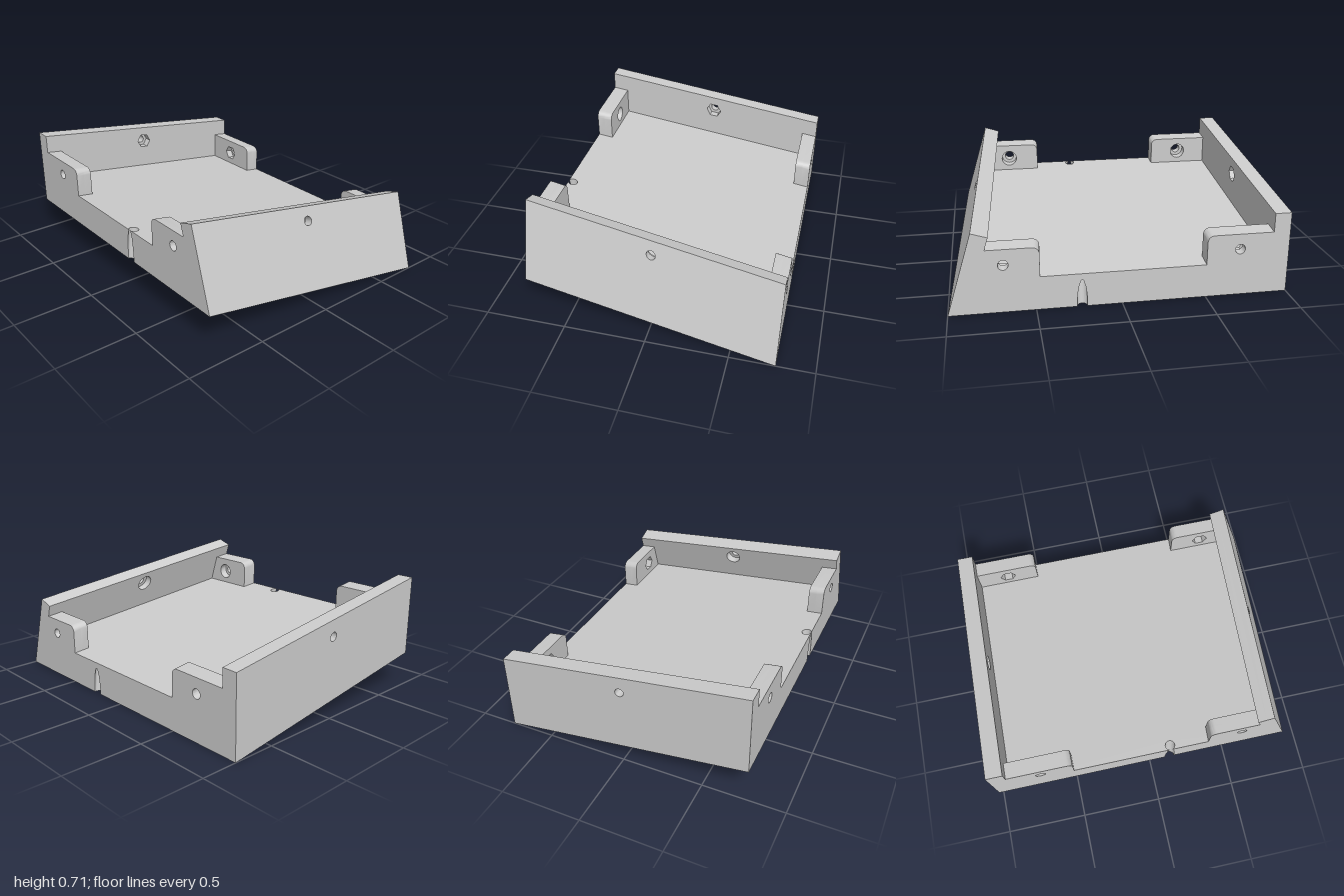
import * as THREE from 'three';
import { toCreasedNormals } from 'three/addons/utils/BufferGeometryUtils.js';

const D = 0.773;          // half depth
const FLOOR = 0.205;      // floor thickness
const WALL = 0.1;         // wall and tab thickness
const rise = z => 0.1075 * (1 + z / D);   // the tray climbs towards the front
const skew = z => -0.0775 * z;            // the sloping side narrows towards the front
const innerX = v => 0.836 - 0.306 * v;    // inner face of the sloping wall at z = 0

const material = new THREE.MeshStandardMaterial({ color: 0xcccccc, side: THREE.DoubleSide });

// Moves every vertex by a rule, then shades with sharp edges
function reshape(geometry, rule) {
  const p = geometry.attributes.position;
  for (let i = 0; i < p.count; i++) p.setXYZ(i, ...rule(p.getX(i), p.getY(i), p.getZ(i)));
  geometry.computeVertexNormals();
  return toCreasedNormals(geometry, 0.6);
}

function add(group, name, geometry) {
  const mesh = new THREE.Mesh(geometry, material);
  mesh.name = name;
  group.add(mesh);
}

// Polygonal hole: many sides for a bolt, six for a nut
function hole(x, y, r, sides) {
  const pts = [];
  for (let i = 0; i < sides; i++) {
    const a = (i / sides) * Math.PI * 2;
    pts.push(new THREE.Vector2(x + r * Math.cos(a), y + r * Math.sin(a)));
  }
  return new THREE.Path(pts);
}

// Two layers: a narrow hole outside, a wide recess inside
function drilledPlate(group, name, outline, hx, hy, r, sides, rule) {
  const part = new THREE.Group();
  part.name = name;
  const layers = [['outerLayer', 0, r, 32], ['recessLayer', WALL / 2, 0.052, sides]];
  for (const [label, start, radius, n] of layers) {
    const shape = new THREE.Shape(outline);
    shape.holes.push(hole(hx, hy, radius, n));
    const geo = new THREE.ExtrudeGeometry(shape, { depth: WALL / 2, bevelEnabled: false });
    add(part, label, reshape(geo, (a, b, c) => rule(a, b, c + start)));
  }
  group.add(part);
}

// Plan outline of the floor at height fraction t, with a leaning groove front and back
function floorOutline(t) {
  const pts = [];
  const v = t * FLOOR;
  const groove = (xc, side, r, d) => {
    const m = Math.PI / 2 + Math.asin(d / r);
    for (let i = 0; i <= 20; i++) {
      const a = m * (i / 10 - 1);
      pts.push(new THREE.Vector2(xc + side * r * Math.sin(a), side * (-D + d + r * Math.cos(a))));
    }
  };
  pts.push(new THREE.Vector2(-0.9, -D));
  groove(0.115, 1, 0.03, 0.0292 * t);
  pts.push(new THREE.Vector2(innerX(v) + skew(D), -D));
  pts.push(new THREE.Vector2(innerX(v) + skew(-D), D));
  if (t < 0.81) groove(0.235, -1, 0.03, 0.0365 * t);
  else groove(0.235, -1, 1e-4, 0);
  pts.push(new THREE.Vector2(-0.9, D));
  return pts;
}

function buildFloor(group) {
  const part = new THREE.Group();
  part.name = 'floor';
  const place = (x, b, v) => [x, v + rise(-b), -b];

  // Edge faces lofted between levels
  const levels = [0, 0.2, 0.4, 0.6, 0.8, 0.82, 1];
  const rings = levels.map(t => floorOutline(t).map(p => place(p.x, p.y, t * FLOOR)));
  const pos = [];
  for (let l = 0; l + 1 < rings.length; l++) {
    const lo = rings[l], up = rings[l + 1];
    for (let i = 0; i < lo.length; i++) {
      const j = (i + 1) % lo.length;
      pos.push(...lo[i], ...lo[j], ...up[j], ...lo[i], ...up[j], ...up[i]);
    }
  }
  const sides = new THREE.BufferGeometry();
  sides.setAttribute('position', new THREE.Float32BufferAttribute(pos, 3));
  add(part, 'floorEdges', reshape(sides, (x, y, z) => [x, y, z]));

  // Top and underside
  for (const t of [0, 1]) {
    const cap = new THREE.ShapeGeometry(new THREE.Shape(floorOutline(t)));
    if (t === 0) cap.index.array.reverse();
    add(part, t ? 'floorTop' : 'underside', reshape(cap, (x, b) => place(x, b, t * FLOOR)));
  }
  group.add(part);
}

// Tab outline running from its wall to a rounded free corner
function tabOutline(wallLow, wallHigh, free) {
  const top = 0.385, r = 0.04, s = Math.sign(free - wallLow);
  const pts = [new THREE.Vector2(wallLow, FLOOR), new THREE.Vector2(free, FLOOR)];
  for (let i = 0; i <= 8; i++) {
    const a = (i / 8) * Math.PI / 2;
    pts.push(new THREE.Vector2(free - s * r * (1 - Math.cos(a)), top - r * (1 - Math.sin(a))));
  }
  pts.push(new THREE.Vector2(wallHigh, top));
  return pts;
}

export function createModel() {
  const group = new THREE.Group();
  group.name = 'slopedTray';
  buildFloor(group);

  // Upright wall with a nut recess inside
  const rect = h => [[-D, 0], [D, 0], [D, h], [-D, h]].map(p => new THREE.Vector2(...p));
  drilledPlate(group, 'uprightWall', rect(0.5), 0, 0.397, 0.027, 6,
    (a, b, c) => [-1 + c, b + rise(-a), -a]);

  // Leaning wall with a round recess inside
  drilledPlate(group, 'leaningWall', rect(0.49), 0, 0.405, 0.027, 32, (a, b, c) => {
    const f = b / 0.49, g = c / WALL;
    return [0.94 - 0.15 * f - 0.104 * g + 0.009 * f * g + skew(a), f * (0.49 - 0.03 * g) + rise(a), a];
  });

  // Corner tabs: round recesses at the front, nut recesses at the back
  for (const side of [1, -1]) {
    const end = side > 0 ? 'front' : 'back';
    const recess = side > 0 ? 32 : 6;
    // The back tabs are turned about, so their outlines are flipped in x
    const flip = pts => pts.map(p => new THREE.Vector2(-side * p.x, p.y));
    const rule = lean => (a, b, c) => {
      const z = side * (D - c);
      return [-side * a + (lean ? skew(z) : 0), b + rise(z), z];
    };
    drilledPlate(group, end + 'RightTab', flip(tabOutline(-0.9, -0.9, -0.5)),
      side * 0.7, 0.29, 0.03, recess, rule(false));
    drilledPlate(group, end + 'LeftTab', flip(tabOutline(innerX(FLOOR), innerX(0.385), 0.415)),
      -side * 0.62, 0.29, 0.03, recess, rule(true));
  }
  return group;
}
